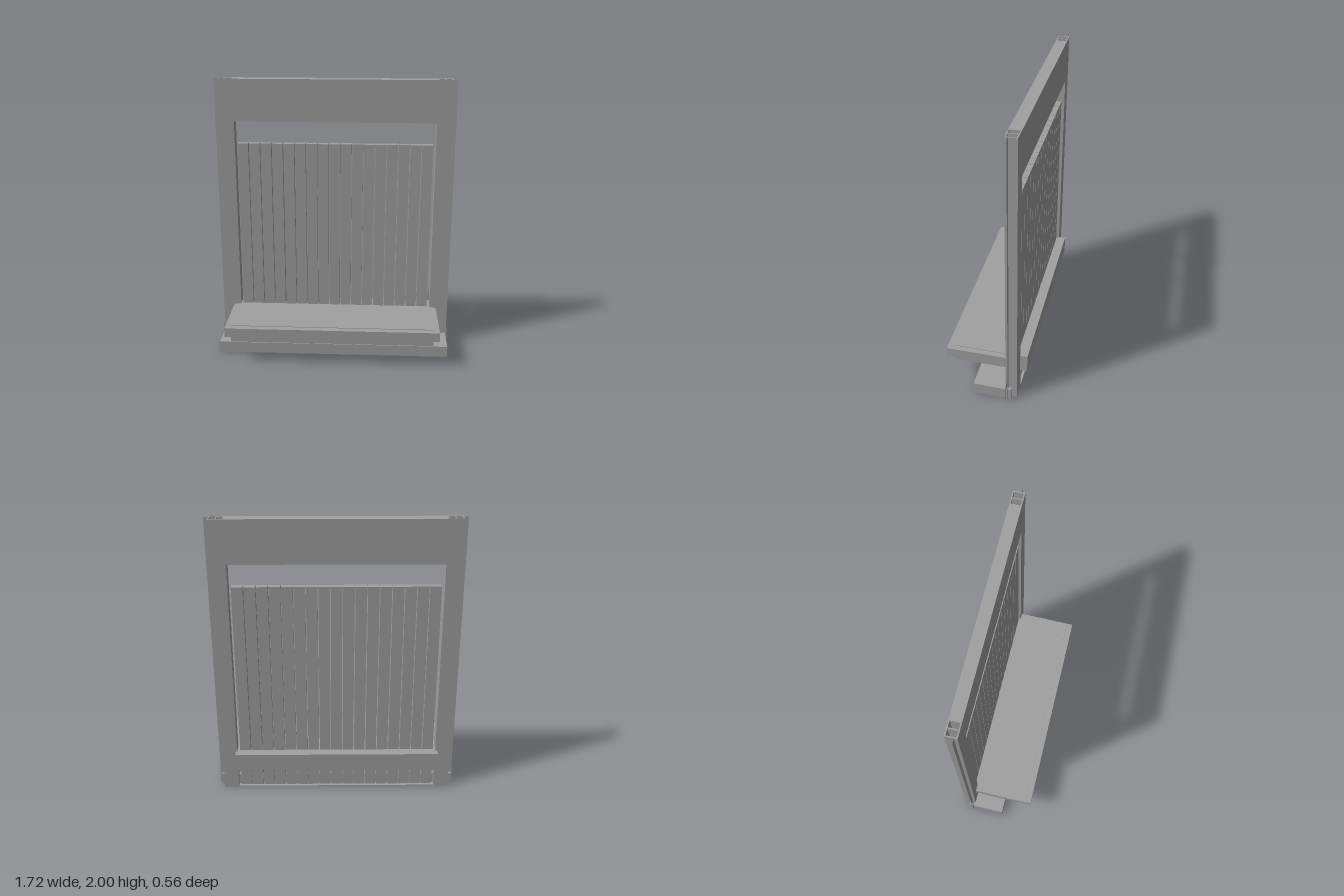
import * as THREE from 'three';

export function createModel() {
  const root = new THREE.Group();
  const grey = new THREE.MeshStandardMaterial({ color: 0xa0a0a0, side: THREE.DoubleSide });
  grey.name = 'plain grey';

  function add(name, geometry, parent = root) {
    const mesh = new THREE.Mesh(geometry, grey);
    mesh.name = name;
    parent.add(mesh);
    return mesh;
  }
  // Box given by its limits on each axis
  function box(name, x0, x1, y0, y1, z0, z1, parent) {
    const g = new THREE.BoxGeometry(x1 - x0, y1 - y0, z1 - z0);
    g.translate((x0 + x1) / 2, (y0 + y1) / 2, (z0 + z1) / 2);
    return add(name, g, parent);
  }
  function rect(path, x0, x1, z0, z1) {
    path.moveTo(x0, -z0);
    path.lineTo(x1, -z0);
    path.lineTo(x1, -z1);
    path.lineTo(x0, -z1);
    path.closePath();
    return path;
  }

  const back = -0.23, front = -0.15, height = 2;
  const inner = 0.715, outer = 0.819;

  // Side posts: hollow upright profiles with an outer fin
  for (const side of [-1, 1]) {
    const post = new THREE.Group();
    post.name = side > 0 ? 'leftPost' : 'rightPost';
    const x0 = Math.min(side * inner, side * outer), x1 = Math.max(side * inner, side * outer);
    const profile = rect(new THREE.Shape(), x0, x1, back, front);
    const mid = (x0 + x1) / 2;
    for (const [a, b] of [[x0 + 0.008, mid - 0.004], [mid + 0.004, x1 - 0.008]]) {
      profile.holes.push(rect(new THREE.Path(), a, b, back + 0.008, front - 0.008));
    }
    const g = new THREE.ExtrudeGeometry(profile, { depth: height, bevelEnabled: false });
    g.rotateX(-Math.PI / 2);
    add('postProfile', g, post);
    const fin = new THREE.PlaneGeometry(0.032, height);
    fin.translate(side * (outer + 0.016), height / 2, -0.172);
    add('postFin', fin, post);
    root.add(post);
  }

  // Header and base of the frame
  box('header', -inner, inner, 1.7, height, back, front);
  box('basePlate', -outer, outer, 0, 0.005, back, front);

  // Upright slats
  const slats = new THREE.Group();
  slats.name = 'slats';
  const count = 17, pitch = 0.0824;
  for (let i = 0; i < count; i++) {
    const x = -0.002 + (i - (count - 1) / 2) * pitch;
    box('slat', x - 0.0385, x + 0.0385, 0, 1.54, -0.21, -0.165, slats);
  }
  root.add(slats);

  // Kick plate across the foot, just in front of the slats
  const plate = new THREE.PlaneGeometry(1.716, 0.125);
  plate.translate(-0.002, 0.0625, -0.16);
  add('kickPlate', plate);

  // Step at the floor
  box('floorStep', -0.848, 0.842, 0, 0.082, -0.193, 0.072);

  // Shelf board, with a core that runs through to the back
  box('shelfBoard', -0.767, 0.763, 0.228, 0.294, front, 0.28);
  box('shelfCore', -0.73, 0.725, 0.17, 0.298, -0.28, 0.235);

  return root;
}
